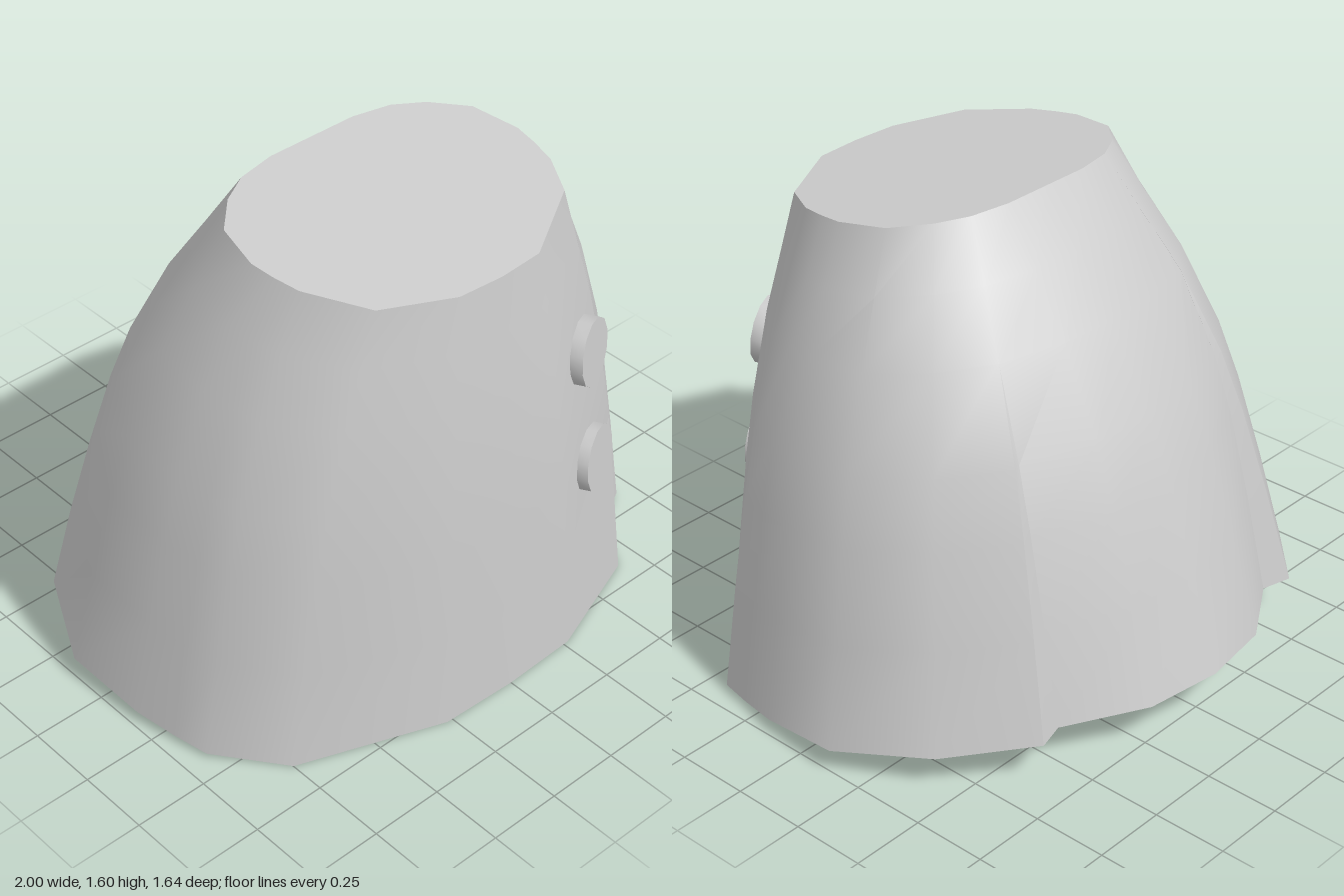
import * as THREE from 'three';
import { toCreasedNormals } from 'three/addons/utils/BufferGeometryUtils.js';

// Rows up the skirt: [height fraction, how far the hem outline has become the waist outline]
const ROWS = [[0, 0], [0.22, 0.14], [0.42, 0.28], [0.56, 0.4], [0.75, 0.62], [0.88, 0.82], [1, 1]];

// Columns: [hem x, hem z, waist x, waist z, fold dx, fold dz]; folds fade out at 3/4 height
const SIDE = [
  [0.92, 0.42, 0.505, 0.4],
  [0.95, 0.3, 0.525, 0.31],
  [0.98, 0.16, 0.535, 0.23],
  [1, -0.13, 0.5, 0.07],
  [0.85, -0.43, 0.4, -0.03],
  [0.61, -0.65, 0.3, -0.085],
  [0.61, -0.65, 0.3, -0.085, -0.1, 0.03], // back pleat
  [0.26, -0.78, 0.165, -0.11],
];
const mirror = ([bx, bz, tx, tz, dx = 0, dz = 0]) => [-bx, bz, -tx, tz, -dx, dz];
const FRONT = [0.27, 0.81, 0.16, 0.69];
const COLUMNS = [
  [0, 0.82, 0, 0.7],
  FRONT,
  [0.66, 0.67, 0.43, 0.53],
  [0.66, 0.67, 0.43, 0.53, 0.105, -0.165], // front overlap
  ...SIDE,
  [0, -0.82, 0, -0.11],
  ...SIDE.map(mirror).reverse(),
  [-0.75, 0.63, -0.39, 0.59],
  mirror(FRONT),
];

const hemY = (z) => Math.max(0, z < 0 ? 0.06 - 0.122 * z : 0.06 - 0.15 * z + 0.09 * z * z);
const waistY = (z) => 1.59 - 0.113 * z;

function surfacePoint([bx, bz, tx, tz, dx = 0, dz = 0], [t, f]) {
  const fold = Math.max(0, 1 - t / 0.75);
  return [
    THREE.MathUtils.lerp(bx, tx, f) + dx * fold,
    THREE.MathUtils.lerp(hemY(bz + dz), waistY(tz), t),
    THREE.MathUtils.lerp(bz, tz, f) + dz * fold,
  ];
}

function buildGeometry(points, index) {
  const geometry = new THREE.BufferGeometry();
  geometry.setAttribute('position', new THREE.Float32BufferAttribute(points, 3));
  geometry.setIndex(index);
  return toCreasedNormals(geometry, 0.62);
}

function skirtGeometry() {
  const points = [], index = [], n = COLUMNS.length;
  for (const row of ROWS) for (const column of COLUMNS) points.push(...surfacePoint(column, row));
  for (let r = 0; r < ROWS.length - 1; r++) {
    for (let c = 0; c < n; c++) {
      const a = r * n + c, b = r * n + (c + 1) % n;
      index.push(a, b, b + n, a, b + n, a + n);
    }
  }
  return buildGeometry(points, index);
}

function waistGeometry() {
  const points = [0, waistY(0.3), 0.3], index = [], n = COLUMNS.length;
  for (const column of COLUMNS) points.push(...surfacePoint(column, [1, 1]));
  for (let c = 0; c < n; c++) index.push(0, 1 + c, 1 + (c + 1) % n);
  return buildGeometry(points, index);
}

export function createModel() {
  const group = new THREE.Group();
  group.name = 'skirt';
  const material = new THREE.MeshStandardMaterial({ color: 0xcccccc, side: THREE.DoubleSide });
  const add = (name, geometry) => {
    const mesh = new THREE.Mesh(geometry, material);
    mesh.name = name;
    group.add(mesh);
    return mesh;
  };

  // Open-bottomed skirt with pleats, closed at the waist
  add('skirtBody', skirtGeometry());
  add('waistCap', waistGeometry());

  // Two buttons beside the front overlap
  const buttonShape = toCreasedNormals(new THREE.CylinderGeometry(0.112, 0.112, 0.05, 12), 0.7);
  const up = new THREE.Vector3(0, 1, 0);
  const outward = new THREE.Vector3(0.39, 0.1, 0.91).normalize();
  [['upperButton', 0.43, 1.01, 0.665], ['lowerButton', 0.445, 0.61, 0.705]].forEach(([name, x, y, z]) => {
    const button = add(name, buttonShape);
    button.position.set(x, y, z);
    button.quaternion.setFromUnitVectors(up, outward);
  });

  return group;
}
